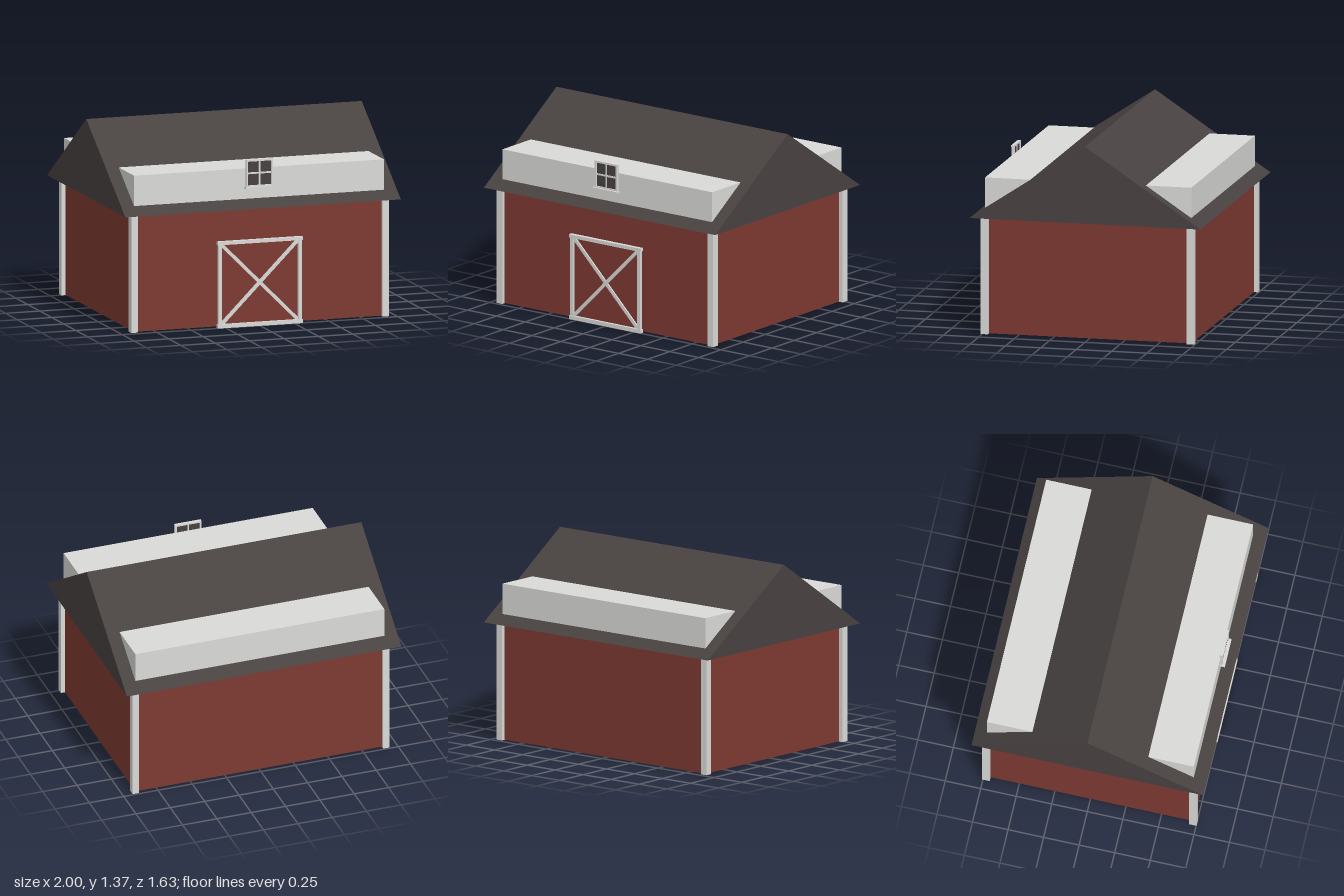
import * as THREE from 'three';

const mat = (name, color) => {
  const m = new THREE.MeshStandardMaterial({ color });
  m.name = name;
  return m;
};

export function createModel() {
  const red = mat('barn red', 0x7e3932);
  const white = mat('trim white', 0xdadad8);
  const dark = mat('roof charcoal', 0x484241);

  const barn = new THREE.Group();
  barn.name = 'barn';

  // Box given by its min and max on each axis
  const box = (parent, name, material, [x0, x1], [y0, y1], [z0, z1]) => {
    const mesh = new THREE.Mesh(new THREE.BoxGeometry(x1 - x0, y1 - y0, z1 - z0), material);
    mesh.position.set((x0 + x1) / 2, (y0 + y1) / 2, (z0 + z1) / 2);
    mesh.name = name;
    parent.add(mesh);
    return mesh;
  };
  const group = (name) => {
    const g = new THREE.Group();
    g.name = name;
    barn.add(g);
    return g;
  };

  const W = 0.907, D = 0.728, EAVES = 0.83;

  // Red walls, with the white dormer block above them poking through both slopes
  box(barn, 'walls', red, [-W, W], [0.01, EAVES + 0.01], [-D, D]);
  box(barn, 'dormers', white, [-W, W], [EAVES + 0.01, 1.1], [-D, D]);

  // Corner posts
  for (const sx of [-1, 1]) for (const sz of [-1, 1]) {
    const post = box(barn, 'cornerPost', white, [-0.024, 0.024], [0.008, EAVES + 0.01], [-0.0265, 0.0265]);
    post.position.x = sx * 0.912;
    post.position.z = sz * 0.7275;
  }

  // Solid gable roof, extruded along x
  const gable = new THREE.Shape([
    new THREE.Vector2(-0.815, EAVES),
    new THREE.Vector2(0.815, EAVES),
    new THREE.Vector2(0, 1.37),
  ]);
  const roofGeo = new THREE.ExtrudeGeometry(gable, { depth: 2, bevelEnabled: false });
  roofGeo.translate(0, 0, -1).rotateY(Math.PI / 2);
  const roof = new THREE.Mesh(roofGeo, dark);
  roof.name = 'roof';
  barn.add(roof);

  // Barn door with a crossed frame
  const door = group('door');
  box(door, 'doorPanel', red, [-0.29, 0.29], [0.01, 0.59], [D, 0.737]);
  for (const s of [-1, 1]) {
    box(door, 'doorStile', white, [s * 0.29 - 0.012, s * 0.29 + 0.012], [0.02, 0.585], [D, 0.754]);
    const brace = box(door, 'doorBrace', white, [-0.388, 0.388], [-0.012, 0.012], [D, 0.748 + s * 0.001]);
    brace.position.y = 0.303;
    brace.rotation.z = s * Math.atan2(0.55, 0.55);
  }
  box(door, 'doorTopRail', white, [-0.308, 0.308], [0.58, 0.604], [D, 0.757]);
  box(door, 'doorBottomRail', white, [-0.308, 0.308], [0, 0.027], [D, 0.757]);

  // Loft window on the front dormer
  const win = group('loftWindow');
  box(win, 'glass', dark, [-0.09, 0.09], [0.975, 1.153], [0.729, 0.736]);
  for (const s of [-1, 1]) {
    box(win, 'windowStile', white, [s * 0.09 - 0.006, s * 0.09 + 0.006], [0.97, 1.16], [0.722, 0.744]);
  }
  box(win, 'windowHead', white, [-0.096, 0.096], [1.148, 1.161], [0.722, 0.745]);
  box(win, 'windowFoot', white, [-0.096, 0.096], [0.97, 0.982], [0.722, 0.745]);
  box(win, 'muntinUpright', white, [-0.006, 0.006], [0.975, 1.155], [0.727, 0.741]);
  box(win, 'muntinCross', white, [-0.09, 0.09], [1.06, 1.072], [0.727, 0.741]);
  box(win, 'windowSill', white, [-0.104, 0.104], [0.96, 0.973], [0.726, 0.761]);

  return barn;
}
